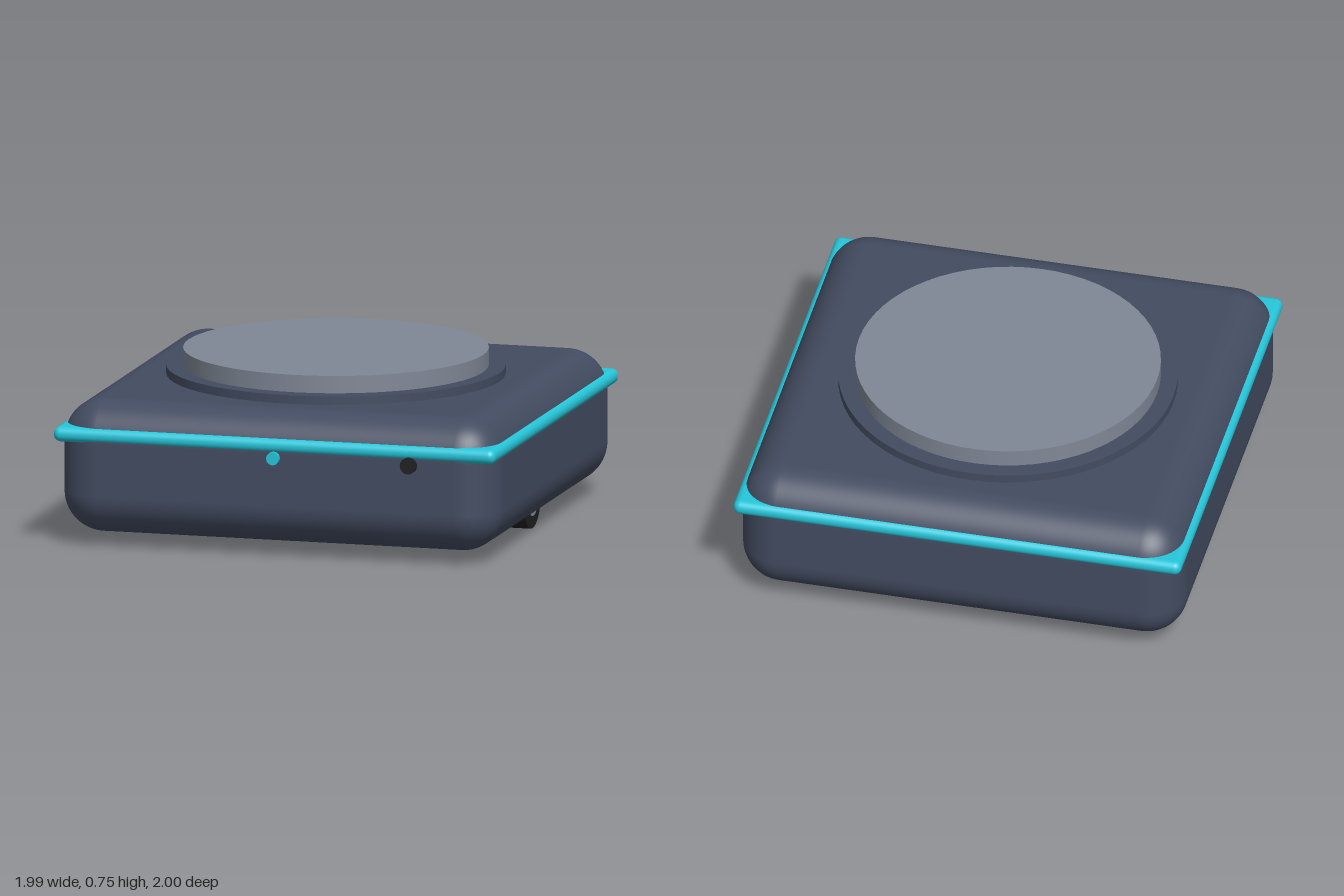
import * as THREE from 'three';
import { RoundedBoxGeometry } from 'three/addons/geometries/RoundedBoxGeometry.js';

const material = (name, color) => {
  const m = new THREE.MeshStandardMaterial({ color });
  m.name = name;
  return m;
};

export function createModel() {
  const slate = material('slate', 0x434c61);
  const cyan = material('cyan', 0x26c6da);
  const grey = material('grey', 0x808896);
  const black = material('black', 0x212121);

  const group = new THREE.Group();
  group.name = 'roundTopUnit';
  const zMid = -0.0075;
  const zFront = 0.9775;

  const add = (name, geometry, mat, x, y, z) => {
    const mesh = new THREE.Mesh(geometry, mat);
    mesh.name = name;
    mesh.position.set(x, y, z);
    group.add(mesh);
    return mesh;
  };
  const disc = (radius, length, sides = 64) => new THREE.CylinderGeometry(radius, radius, length, sides);

  // Soft-cornered housing and the square trim plate through it
  add('housing', new RoundedBoxGeometry(1.97, 0.586, 1.97, 8, 0.18), slate, 0, 0.345, zMid);
  add('trim', new RoundedBoxGeometry(1.99, 0.066, 1.985, 6, 0.032), cyan, 0, 0.497, zMid);

  // Stepped round top
  add('collar', disc(0.735, 0.045), slate, 0, 0.653, zMid);
  add('topDisc', disc(0.662, 0.08), grey, 0, 0.712, zMid);

  // Wheels, mostly sunk in the housing, with a hub on the outer face
  for (const [side, s] of [['left', 1], ['right', -1]]) {
    add(side + 'Wheel', disc(0.13, 0.146, 32).rotateZ(Math.PI / 2), black, s * 0.812, 0.13, zMid);
    add(side + 'Hub', disc(0.075, 0.04, 24).rotateZ(Math.PI / 2), grey, s * 0.869, 0.13, zMid);
  }

  // Front indicator light and button
  add('indicator', disc(0.029, 0.04, 12).rotateX(Math.PI / 2), cyan, 0, 0.445, zFront);
  add('button', disc(0.036, 0.045, 16).rotateX(Math.PI / 2), black, 0.61, 0.445, zFront);

  return group;
}
